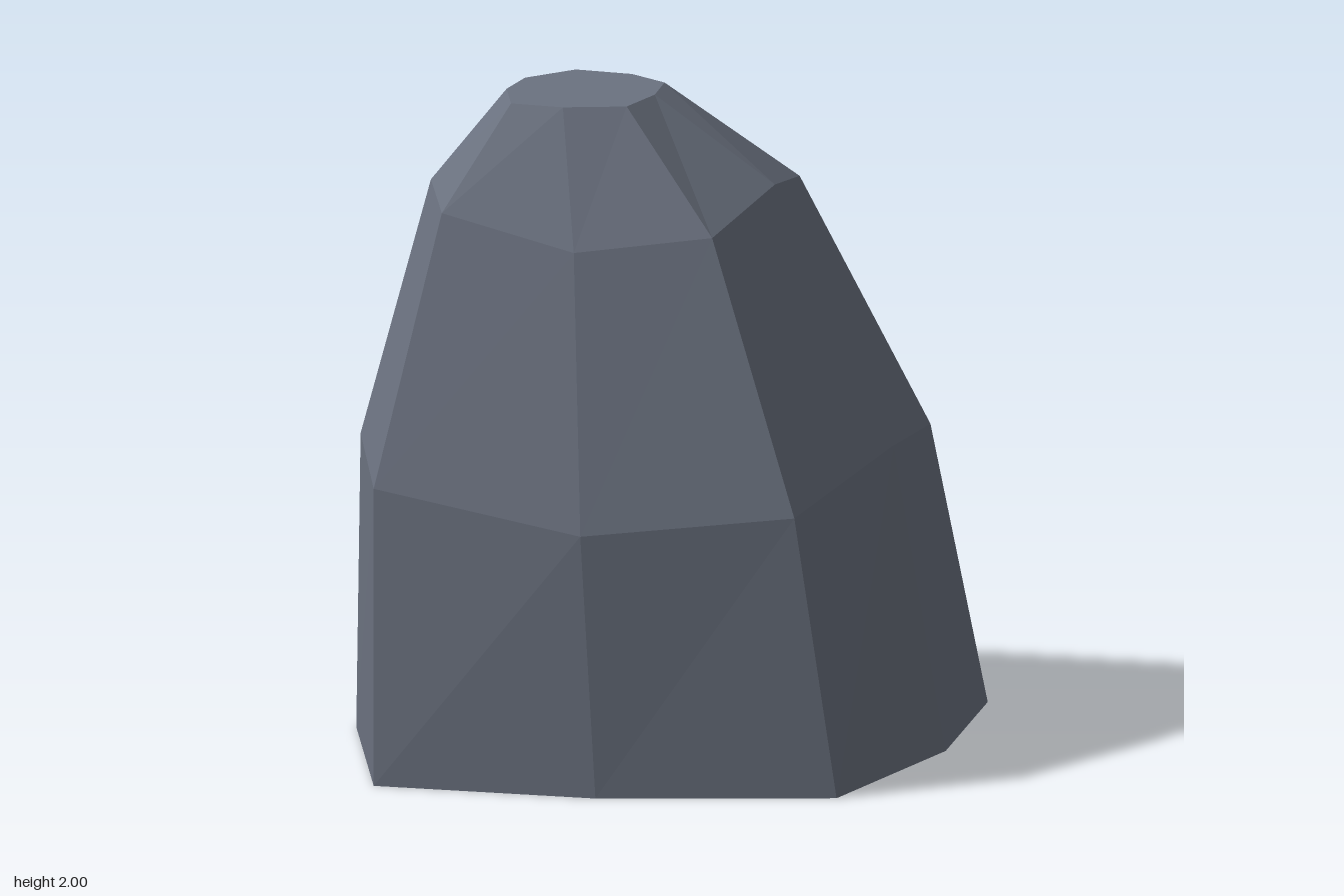
import * as THREE from 'three';

// Nine ridges around the rock; each lists [x, z, height] at base, waist, shoulder and top
const ridges = [
  [[-1, 0.31, 0], [-1, 0.31, 0.9], [-0.77, 0.25, 1.7], [-0.54, 0.2, 2]],
  [[-0.43, 0.65, 0], [-0.48, 0.66, 0.8], [-0.44, 0.48, 1.61], [-0.41, 0.29, 2]],
  [[0.24, 0.87, 0], [0.12, 0.84, 0.85], [-0.05, 0.59, 1.65], [-0.23, 0.34, 2]],
  [[0.71, 0.47, 0], [0.55, 0.47, 0.94], [0.22, 0.36, 1.73], [-0.11, 0.24, 2]],
  [[1, -0.01, 0], [0.81, 0.03, 0.87], [0.39, 0.08, 1.67], [-0.04, 0.12, 2]],
  [[0.75, -0.44, 0], [0.59, -0.36, 0.93], [0.25, -0.18, 1.73], [-0.1, 0, 2]],
  [[0.21, -0.87, 0], [0.09, -0.75, 0.83], [-0.07, -0.43, 1.63], [-0.24, -0.1, 2]],
  [[-0.48, -0.72, 0], [-0.54, -0.62, 0.81], [-0.48, -0.34, 1.61], [-0.41, -0.06, 2]],
  [[-0.84, -0.33, 0], [-0.85, -0.26, 0.91], [-0.68, -0.12, 1.7], [-0.5, 0.04, 2]],
];

export function createModel() {
  const stone = new THREE.MeshStandardMaterial({ color: 0x6b7280 });
  stone.name = 'slate grey';

  const positions = [];
  const tri = (...corners) => corners.forEach(([x, z, y]) => positions.push(x, y, z));

  ridges.forEach((a, i) => {
    const b = ridges[(i + 1) % ridges.length];
    // Side facets between neighbouring ridges
    for (let k = 0; k < 3; k++) {
      tri(a[k], b[k], b[k + 1]);
      tri(a[k], b[k + 1], a[k + 1]);
    }
    // Flat top and underside, fanned from the first ridge
    if (i > 0 && i < ridges.length - 1) {
      tri(ridges[0][3], a[3], b[3]);
      tri(ridges[0][0], b[0], a[0]);
    }
  });

  // Unshared corners keep every facet flat
  const geometry = new THREE.BufferGeometry();
  geometry.setAttribute('position', new THREE.Float32BufferAttribute(positions, 3));
  geometry.computeVertexNormals();

  const rock = new THREE.Mesh(geometry, stone);
  rock.name = 'rock';
  const model = new THREE.Group();
  model.name = 'boulder';
  model.add(rock);
  return model;
}
